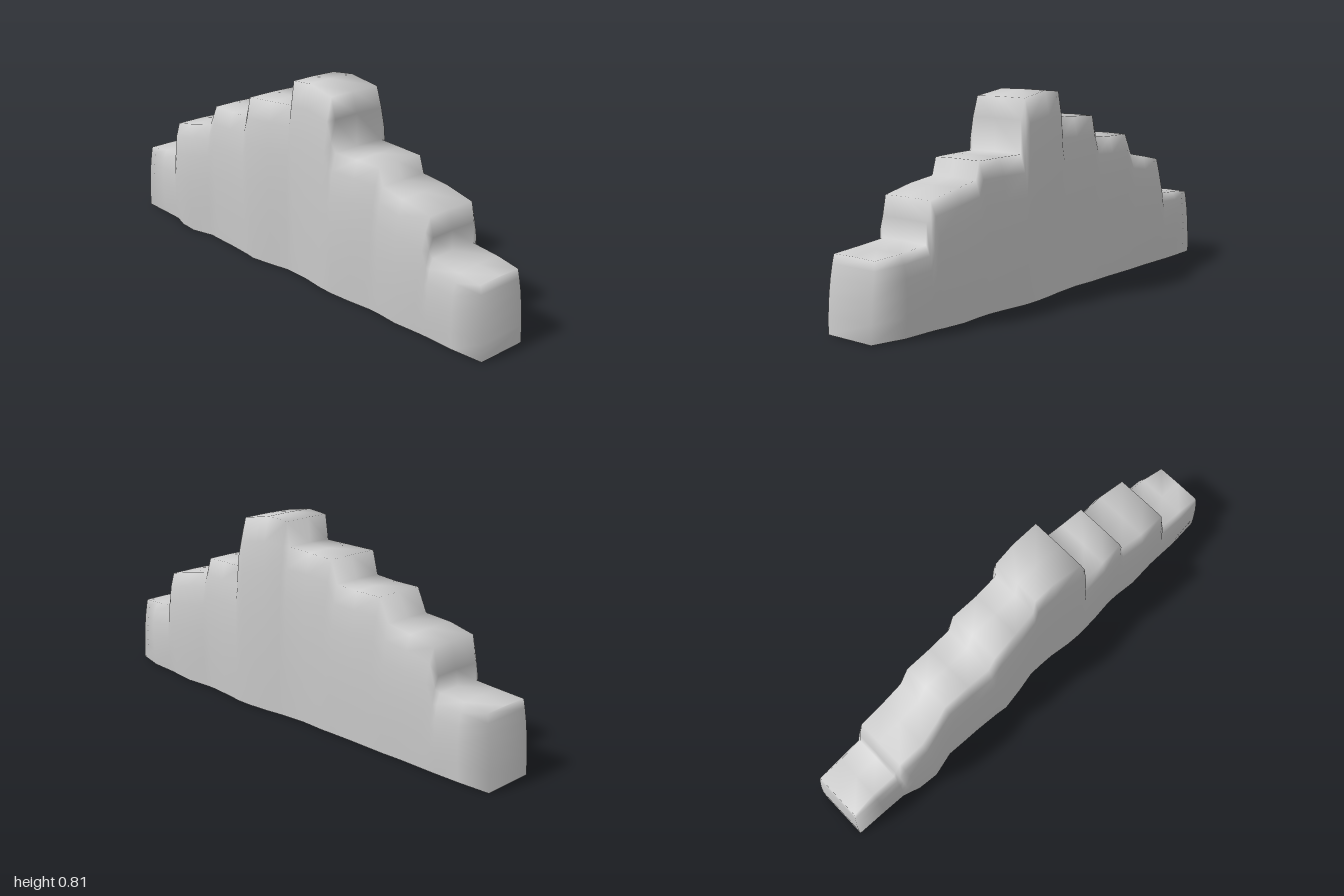
import * as THREE from 'three';

// Stations along the hedge: top x, top y, front depth, back depth, base x
const STATIONS = [
  [-0.975, 0.285, 0.112, 0.105, -1], [-0.87, 0.295, 0.125, 0.122, -0.87], [-0.765, 0.3, 0.13, 0.125, -0.77],
  [-0.755, 0.36, 0.14, 0.125, -0.74], [-0.73, 0.46, 0.155, 0.125, -0.7], [-0.62, 0.482, 0.163, 0.125, -0.61],
  [-0.52, 0.5, 0.135, 0.13, -0.51], [-0.475, 0.59, 0.138, 0.13, -0.45], [-0.36, 0.59, 0.142, 0.13, -0.35],
  [-0.26, 0.595, 0.15, 0.133, -0.25], [-0.23, 0.685, 0.157, 0.135, -0.2], [-0.11, 0.69, 0.14, 0.132, -0.1],
  [-0.005, 0.695, 0.122, 0.14, -0.02], [0.005, 0.795, 0.122, 0.145, 0.03], [0.1, 0.803, 0.125, 0.157, 0.1],
  [0.23, 0.78, 0.138, 0.167, 0.19], [0.255, 0.7, 0.14, 0.168, 0.225], [0.257, 0.572, 0.142, 0.168, 0.26],
  [0.37, 0.57, 0.136, 0.157, 0.36], [0.475, 0.567, 0.126, 0.15, 0.45], [0.495, 0.5, 0.126, 0.152, 0.5],
  [0.6, 0.483, 0.136, 0.163, 0.6], [0.73, 0.455, 0.13, 0.155, 0.69], [0.747, 0.38, 0.128, 0.15, 0.72],
  [0.749, 0.302, 0.128, 0.147, 0.755], [0.87, 0.29, 0.13, 0.143, 0.87], [0.972, 0.28, 0.112, 0.102, 1],
];
// Side profile: height fraction, depth fraction
const SIDE = [[0, 0.93], [0.25, 0.98], [0.5, 1], [0.72, 0.98], [0.88, 0.91], [1, 0.78]];

function hedgeGeometry() {
  const pos = [], idx = [], n = SIDE.length, ring = 2 * n + 1, last = STATIONS.length - 1;
  STATIONS.forEach(([x, y, front, back, base], i) => {
    const end = i === 0 || i === last;
    const point = ([t, d], depth) => {
      // the end walls keep their full width and curve in only at the top
      const px = end ? base + (x - base) * t ** 2 : base + (x - base) * t;
      pos.push(px, y * t, depth * (end ? 1 - 0.06 * t ** 4 : d));
    };
    SIDE.forEach((s) => point(s, front));
    pos.push(x, y + 0.002, 0);
    [...SIDE].reverse().forEach((s) => point(s, -back));
  });
  // skin over front, top and back, open underneath
  for (let i = 0; i < last; i++) {
    for (let j = 0; j < ring - 1; j++) {
      const a = i * ring + j, b = a + ring;
      idx.push(a, b, b + 1, a, b + 1, a + 1);
    }
  }
  // end walls
  for (const [s, flip] of [[0, true], [last * ring, false]]) {
    const tri = (a, b, c) => (flip ? idx.push(a, c, b) : idx.push(a, b, c));
    for (let j = 0; j < n - 1; j++) {
      const f = s + j, k = s + ring - 1 - j;
      tri(f, k, k - 1);
      tri(f, k - 1, f + 1);
    }
    tri(s + n - 1, s + n + 1, s + n);
  }
  const g = new THREE.BufferGeometry();
  g.setAttribute('position', new THREE.Float32BufferAttribute(pos, 3));
  g.setIndex(idx);
  g.computeVertexNormals();
  return g;
}

export function createModel() {
  const group = new THREE.Group();
  group.name = 'hedge';
  const material = new THREE.MeshStandardMaterial({ color: 0xcccccc, side: THREE.DoubleSide });
  const foliage = new THREE.Mesh(hedgeGeometry(), material);
  foliage.name = 'foliage';
  group.add(foliage);
  return group;
}
